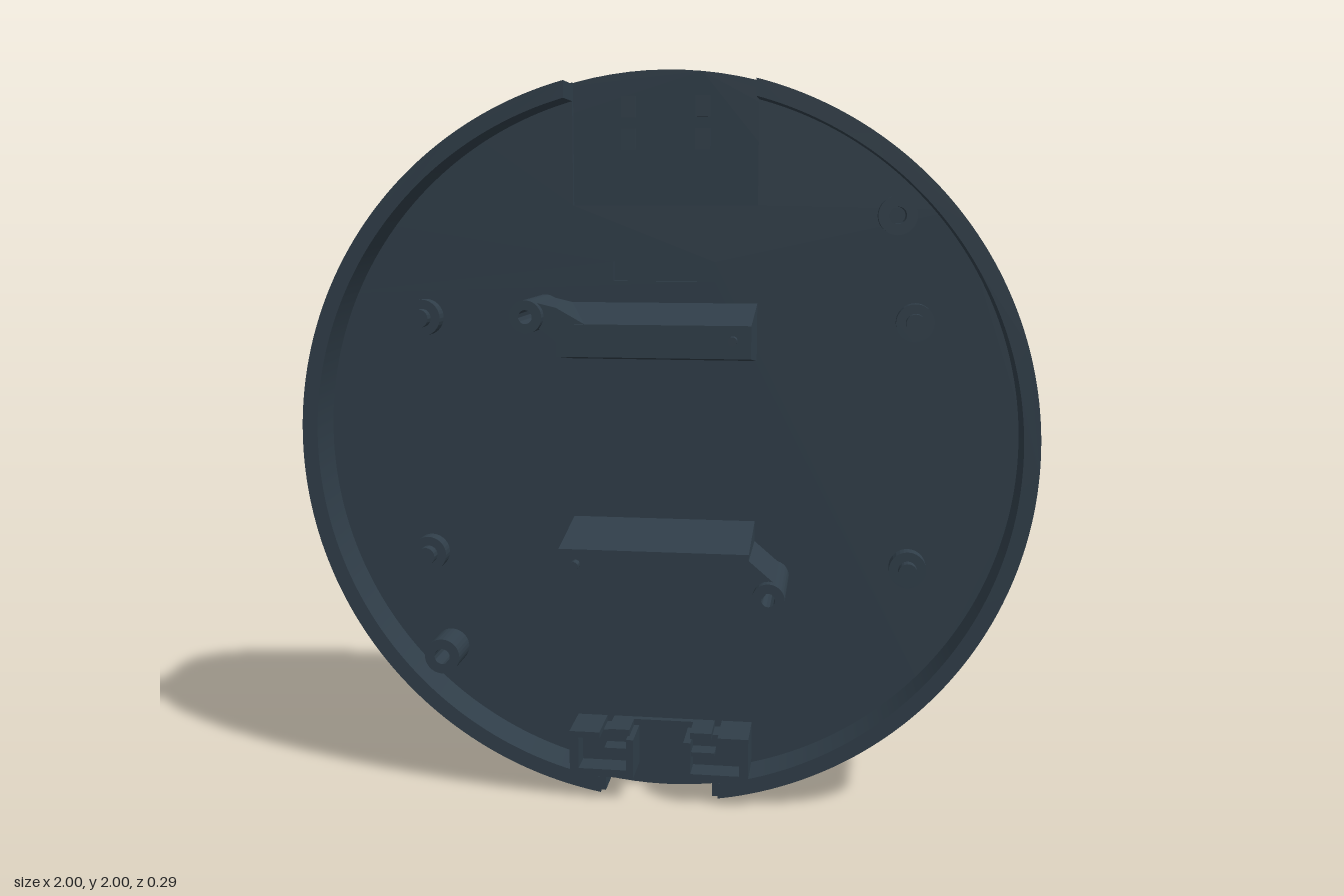
import * as THREE from 'three';
import { toCreasedNormals } from 'three/addons/utils/BufferGeometryUtils.js';

export function createModel() {
  const model = new THREE.Group();
  model.name = 'roundHousingCover';
  const slate = new THREE.MeshStandardMaterial({ color: 0x303e49 });
  slate.name = 'darkSlate';

  const BACK = -0.145, POCKET = -0.12, FLOOR = -0.105, RIM = 0.015;
  const R = 0.996, INNER = 0.953;

  const add = (name, geometry, parent = model) => {
    const mesh = new THREE.Mesh(geometry, slate);
    mesh.name = name;
    parent.add(mesh);
    return mesh;
  };
  // Extrude an outline from z0 to z1, smooth round walls, sharp edges
  const slab = (name, shape, z0, z1, parent) => {
    const g = new THREE.ExtrudeGeometry(shape, { depth: z1 - z0, bevelEnabled: false, curveSegments: 64 });
    g.translate(0, 0, z0);
    return add(name, toCreasedNormals(g, 0.5), parent);
  };
  const polygon = (pts) => new THREE.Shape(pts.map(([x, y]) => new THREE.Vector2(x, y)));
  const box = (name, x0, x1, y0, y1, z0, z1, parent) => {
    const g = new THREE.BoxGeometry(x1 - x0, y1 - y0, z1 - z0);
    g.translate((x0 + x1) / 2, (y0 + y1) / 2, (z0 + z1) / 2);
    return add(name, g, parent);
  };
  const disc = (x, y, r) => new THREE.Shape().absarc(x, y, r, 0, Math.PI * 2, false);
  // Post with a blind screw hole
  const post = (name, x, y, r, hole, z1, parent) => {
    const s = disc(x, y, r);
    s.holes.push(new THREE.Path().absarc(x, y, hole, 0, Math.PI * 2, true));
    slab(name, s, FLOOR, z1, parent);
  };

  // Back plate
  slab('backPlate', disc(0, 1, 1), BACK, POCKET);

  // Floor layer with the top pocket and a narrow slot cut out
  const a = Math.acos(0.25);
  const floor = new THREE.Shape();
  floor.absarc(0, 1, 1, Math.PI - a, Math.PI * 2 + a, false);
  floor.lineTo(0.25, 1.645);
  floor.lineTo(-0.25, 1.645);
  floor.closePath();
  floor.holes.push(new THREE.Path([[-0.14, 1.443], [-0.14, 1.495], [0.136, 1.495], [0.136, 1.443]]
    .map(([x, y]) => new THREE.Vector2(x, y))));
  slab('floor', floor, POCKET, FLOOR);

  // Shallow pads in the pocket
  for (const x of [-0.1, 0.1]) for (const y of [1.82, 1.905])
    box('pocketPad', x - 0.02, x + 0.02, y - 0.028, y + 0.028, POCKET, POCKET + 0.004);

  // Rim halves, open at the top notch and at the bottom connector
  const rimHalf = (side) => {
    const top = (r) => Math.acos(0.25 / r), low = (r) => -Math.acos(0.165 / r);
    const s = new THREE.Shape();
    if (side > 0) {
      s.absarc(0, 1, R, low(R), top(R), false);
      s.absarc(0, 1, INNER, top(INNER), low(INNER), true);
    } else {
      s.absarc(0, 1, R, Math.PI - top(R), Math.PI - low(R), false);
      s.absarc(0, 1, INNER, Math.PI - low(INNER), Math.PI - top(INNER), true);
    }
    s.closePath();
    slab(side > 0 ? 'leftRim' : 'rightRim', s, FLOOR, RIM);
  };
  rimHalf(1);
  rimHalf(-1);

  // Four low locating studs with pins
  for (const x of [-0.67, 0.67]) for (const y of [0.67, 1.34]) {
    slab('stud', disc(x, y, 0.05), FLOOR, -0.065);
    slab('studPin', disc(x, y, 0.025), -0.065, -0.035);
  }
  // Two tall screw posts
  post('screwPost', 0.615, 1.62, 0.05, 0.022, 0.0);
  post('screwPost', -0.62, 0.39, 0.05, 0.022, 0.0);

  // Wedge-sided brackets, each with an arm, a screw post and a pin
  const bracket = (name, yBase0, yFront0, yFront1, yBase1, arm, p, pin) => {
    const g = new THREE.Group();
    g.name = name;
    model.add(g);
    const geo = new THREE.BoxGeometry(0.507, 1, 1);
    const pos = geo.attributes.position;
    for (let i = 0; i < pos.count; i++) {
      const front = pos.getZ(i) > 0, up = pos.getY(i) > 0;
      pos.setXYZ(i, pos.getX(i) - 0.002,
        front ? (up ? yFront1 : yFront0) : (up ? yBase1 : yBase0), front ? 0.118 : FLOOR);
    }
    const flat = geo.toNonIndexed();
    flat.computeVertexNormals();
    add('bracketBody', flat, g);
    slab('bracketArm', polygon(arm), FLOOR, 0.117, g);
    post('bracketPost', p[0], p[1], 0.043, 0.018, 0.145, g);
    slab('bracketPin', disc(pin[0], pin[1], 0.012), 0.118, 0.145, g);
  };
  bracket('upperBracket', 1.23, 1.258, 1.343, 1.385,
    [[-0.32, 1.4], [-0.255, 1.385], [-0.18, 1.343], [-0.2, 1.28], [-0.255, 1.295], [-0.3, 1.33]],
    [-0.33, 1.362], [0.205, 1.305]);
  bracket('lowerBracket', 0.63, 0.66, 0.745, 0.785,
    [[0.275, 0.602], [0.2, 0.66], [0.2, 0.735], [0.25, 0.73], [0.32, 0.67], [0.29, 0.63]],
    [0.305, 0.632], [-0.21, 0.705]);

  // Connector at the bottom: centre plate and two mirrored clips
  box('connectorPlate', -0.1, 0.095, 0.07, 0.2, FLOOR, -0.085);
  for (const side of [-1, 1]) {
    const clip = new THREE.Group();
    clip.name = side > 0 ? 'leftClip' : 'rightClip';
    model.add(clip);
    const wall = (name, x0, x1, y0, y1, z1) =>
      box(name, Math.min(side * x0, side * x1), Math.max(side * x0, side * x1), y0, y1, FLOOR, z1, clip);
    wall('clipOuterWall', 0.225, 0.25, 0.07, 0.2, 0.03);
    wall('clipTopWall', 0.165, 0.225, 0.182, 0.2, 0.03);
    wall('clipTopTab', 0.085, 0.145, 0.182, 0.2, 0.0);
    wall('clipBottomWall', 0.07, 0.225, 0.07, 0.092, 0.03);
    wall('clipInnerWall', 0.07, 0.09, 0.092, 0.182, 0.03);
    wall('clipRib', 0.09, 0.155, 0.136, 0.148, 0.01);
    wall('clipBase', 0.09, 0.225, 0.092, 0.182, -0.04);
    wall('clipFoot', 0.15, 0.168, 0.025, 0.07, RIM);
  }
  return model;
}
